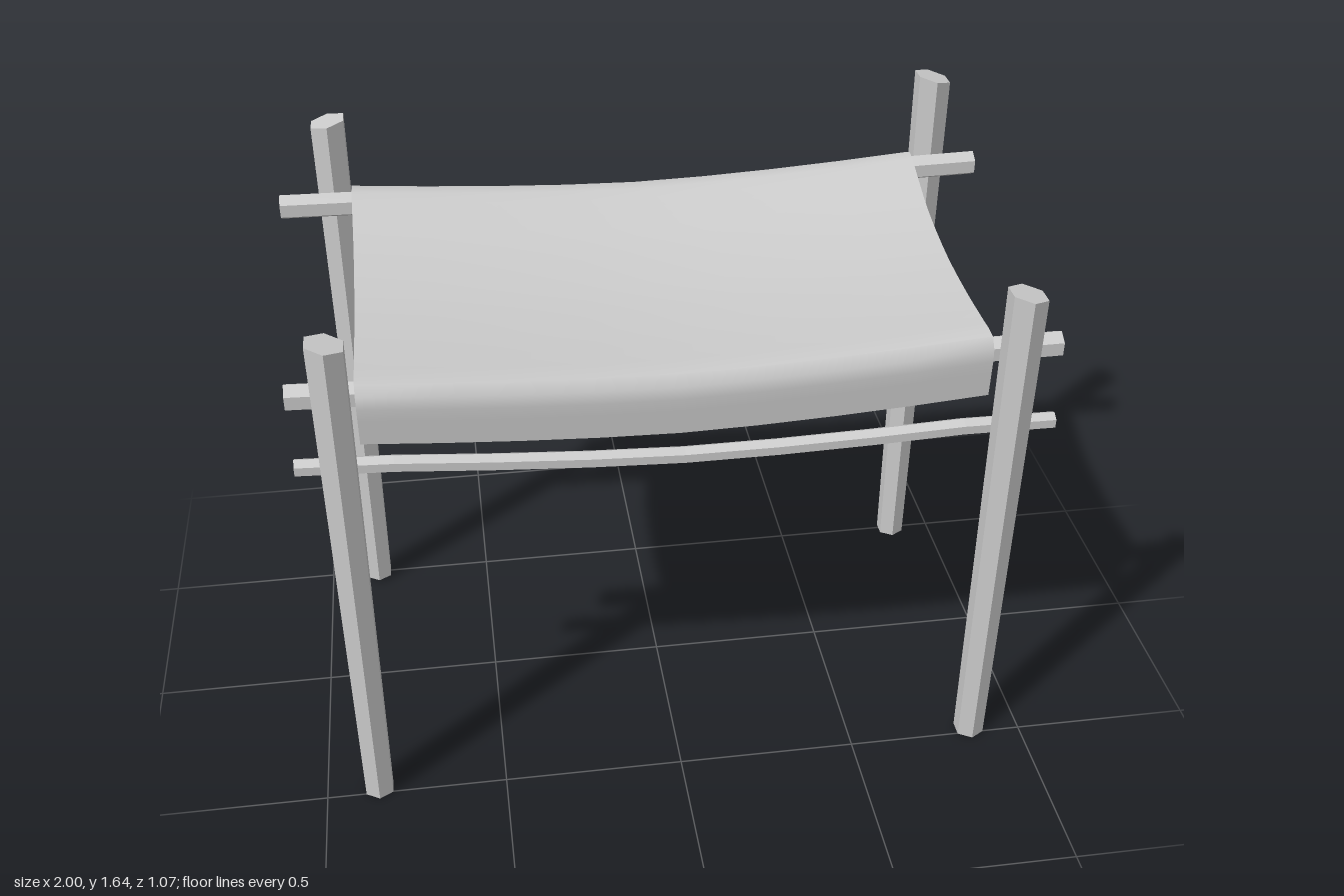
import * as THREE from 'three';
import { toCreasedNormals } from 'three/addons/utils/BufferGeometryUtils.js';

const wood = new THREE.MeshStandardMaterial({ color: 0xcccccc, flatShading: true });
const cloth = new THREE.MeshStandardMaterial({ color: 0xcccccc, side: THREE.DoubleSide });
const HALF = 0.8; // half width of the cloth

// Droop towards the middle, zero at the cloth's side edges
const droop = (x, depth) => depth * Math.max(0, 1 - Math.pow(Math.abs(x) / HALF, 1.6));

function moveVertices(geometry, rule) {
  const p = geometry.attributes.position;
  const v = new THREE.Vector3();
  for (let i = 0; i < p.count; i++) {
    rule(v.fromBufferAttribute(p, i));
    p.setXYZ(i, v.x, v.y, v.z);
  }
  geometry.computeVertexNormals();
  return geometry;
}

// Hexagonal post, thicker at the top, with an obliquely cut top
function post(name, x, z, base, top, slope) {
  const h = top - base;
  const geometry = new THREE.CylinderGeometry(0.052, 0.043, h, 6);
  moveVertices(geometry, v => { if (v.y > 0) v.y += slope * v.x; });
  const mesh = new THREE.Mesh(geometry, wood);
  mesh.name = name;
  mesh.position.set(x, base + h / 2, z);
  return mesh;
}

// Hexagonal pole along x, sagging in the middle
function pole(name, x0, x1, y, z, radius, depth, slope) {
  const geometry = new THREE.CylinderGeometry(radius, radius, x1 - x0, 6, 8);
  geometry.rotateY(Math.PI / 2).rotateZ(Math.PI / 2).translate((x0 + x1) / 2, 0, 0);
  moveVertices(geometry, v => { v.y += slope * v.x - droop(v.x, depth); });
  const mesh = new THREE.Mesh(geometry, wood);
  mesh.name = name;
  mesh.position.set(0, y, z);
  return mesh;
}

// Cloth draped over both beams, hanging short in front and long behind
function canopy() {
  const path = new THREE.CatmullRomCurve3([
    [0.441, 1.14], [0.444, 1.21], [0.443, 1.275], [0.42, 1.304], [0.36, 1.305],
    [0.2, 1.304], [0, 1.316], [-0.2, 1.354], [-0.32, 1.397], [-0.41, 1.43],
    [-0.448, 1.418], [-0.46, 1.385], [-0.446, 1.28], [-0.438, 1.16],
    [-0.45, 1.0], [-0.483, 0.838],
  ].map(([z, y]) => new THREE.Vector3(-z, y, 0)), false, 'centripetal');
  const n = 48, thickness = 0.01;
  const outer = [], inner = [];
  for (let i = 0; i <= n; i++) {
    const p = path.getPointAt(i / n), t = path.getTangentAt(i / n);
    outer.push(new THREE.Vector2(p.x, p.y));
    inner.unshift(new THREE.Vector2(p.x + t.y * thickness, p.y - t.x * thickness));
  }
  let geometry = new THREE.ExtrudeGeometry(new THREE.Shape([...outer, ...inner]), {
    depth: 2 * HALF, steps: 8, bevelEnabled: false,
  });
  geometry.translate(0, 0, -HALF).rotateY(Math.PI / 2);
  moveVertices(geometry, v => { v.y -= droop(v.x, 0.042); });
  geometry = toCreasedNormals(geometry, Math.PI / 4);
  const mesh = new THREE.Mesh(geometry, cloth);
  mesh.name = 'clothCanopy';
  return mesh;
}

export function createModel() {
  const model = new THREE.Group();
  model.name = 'clothAwning';
  model.add(
    post('frontRightPost', -0.855, 0.48, 0, 1.455, -0.2),
    post('frontLeftPost', 0.855, 0.48, 0, 1.455, -0.2),
    post('backRightPost', -0.85, -0.482, 0.01, 1.6, 0.2),
    post('backLeftPost', 0.868, -0.482, 0.01, 1.632, -0.25),
    pole('backBeam', -1, 0.99, 1.382, -0.418, 0.036, 0.042, 0.003),
    pole('frontBeam', -0.97, 0.99, 1.261, 0.4, 0.036, 0.042, -0.006),
    pole('frontRail', -0.97, 1, 1.045, 0.41, 0.024, 0.036, -0.02),
    canopy(),
  );
  return model;
}
